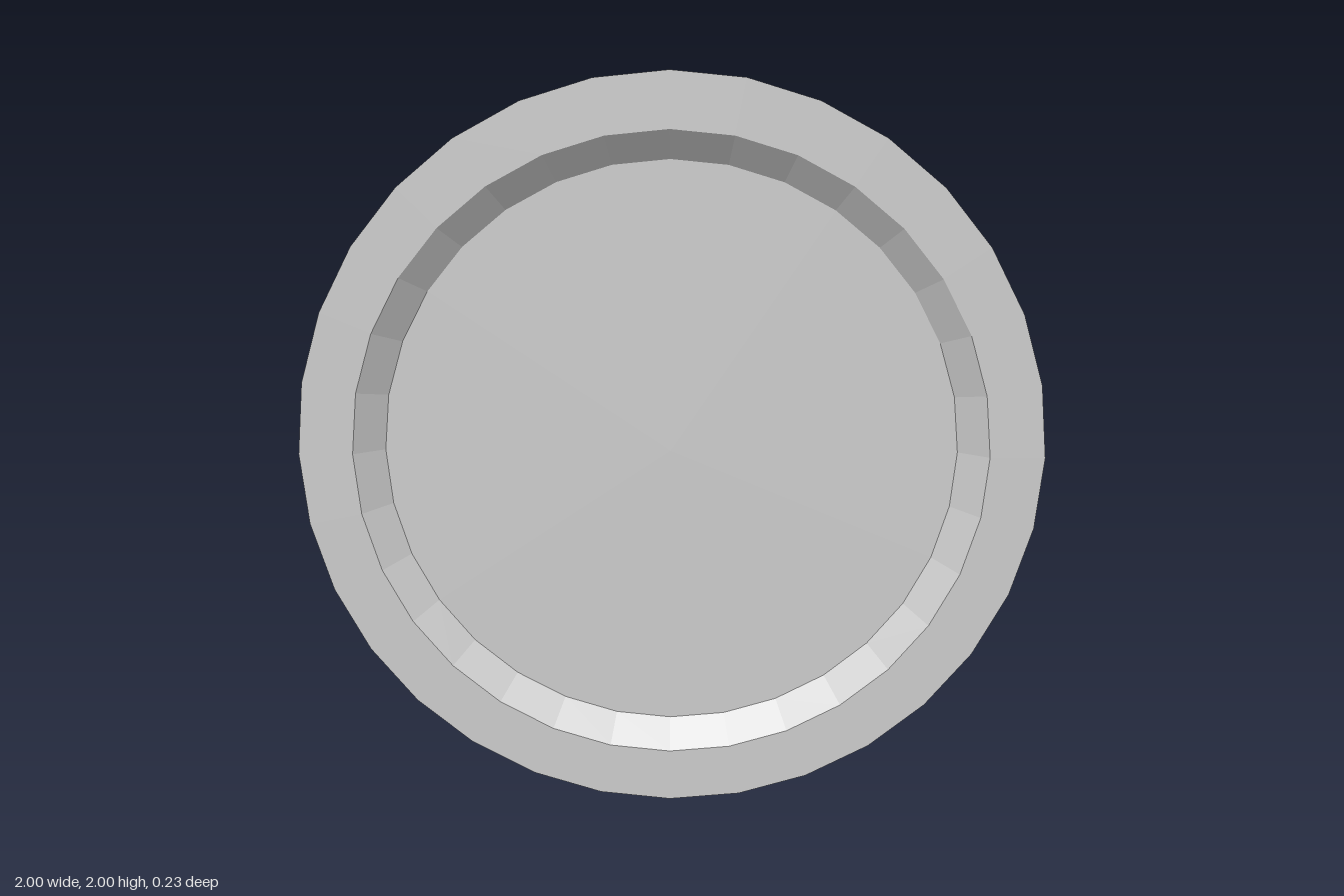
import * as THREE from 'three';

const SIDES = 32;
const HALF = 0.114;    // half thickness of the rim
const FLOOR = 0.052;   // half thickness of the recessed face
const RIM_IN = 0.854;  // inner edge of the flat rim
const FACE = 0.778;    // radius of the recessed face

export function createModel() {
  const group = new THREE.Group();
  group.name = 'coin';
  const material = new THREE.MeshStandardMaterial({ color: 0xcccccc, flatShading: true });

  // Turned section: back face, back bevel, rim, front bevel, front face
  const profile = [
    [0, -FLOOR], [FACE, -FLOOR], [RIM_IN, -HALF], [1, -HALF],
    [1, HALF], [RIM_IN, HALF], [FACE, FLOOR], [0, FLOOR],
  ].map(([r, y]) => new THREE.Vector2(r, y));

  const geometry = new THREE.LatheGeometry(profile, SIDES);
  geometry.rotateX(Math.PI / 2); // stand the disc upright, facing +z
  geometry.translate(0, 1, 0);

  const disc = new THREE.Mesh(geometry, material);
  disc.name = 'rimmedDisc';
  group.add(disc);
  return group;
}
